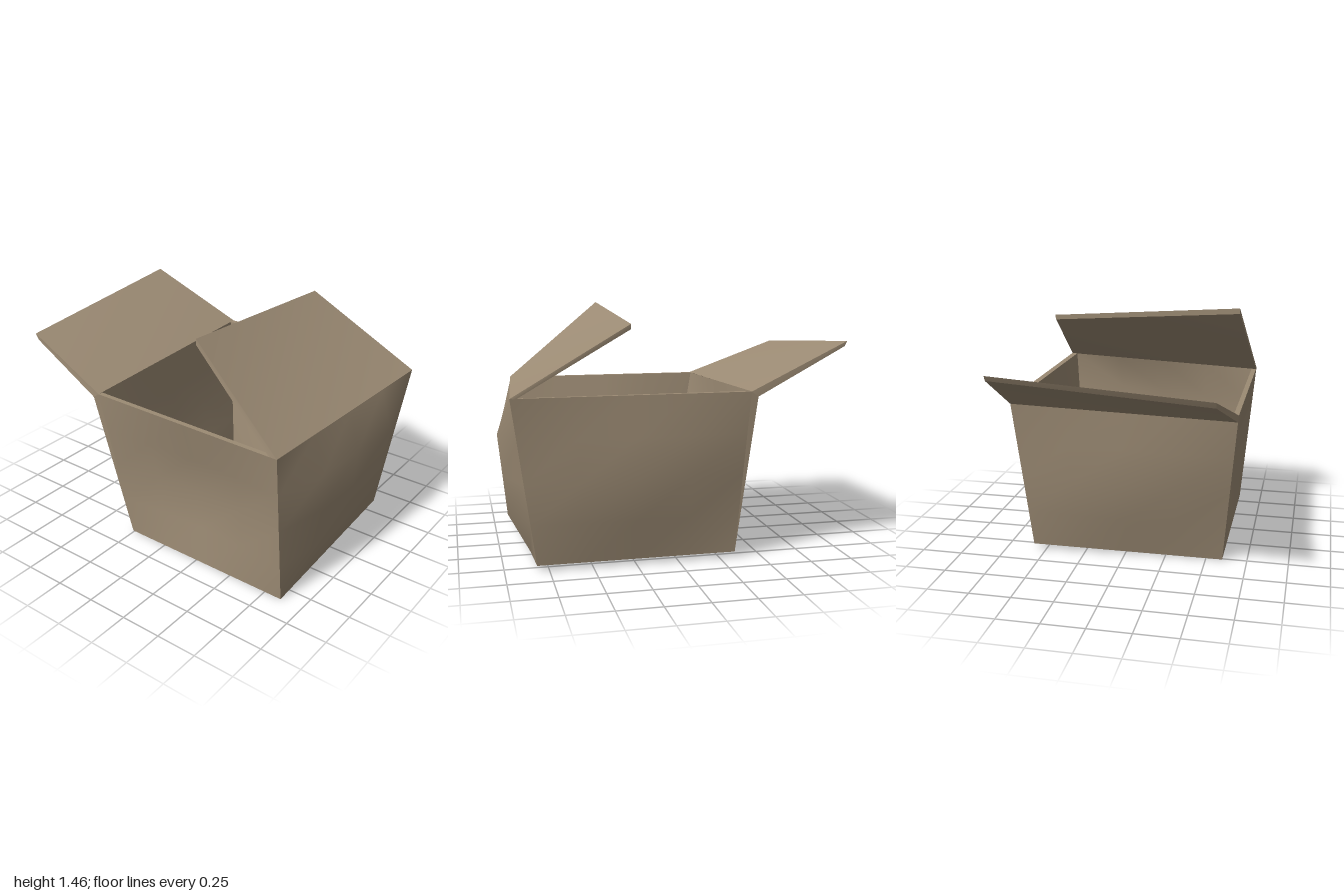
import * as THREE from 'three';

const V = (x, y, z) => new THREE.Vector3(x, y, z);

// Four-cornered surface (a, b along the bottom, d, c along the top), pushed out by bulge(u, v)
function patch(a, b, c, d, n = 1, bulge = null, flip = false) {
  const g = new THREE.PlaneGeometry(1, 1, n, n);
  const p = g.attributes.position;
  for (let i = 0; i < p.count; i++) {
    const u = p.getX(i) + 0.5, v = p.getY(i) + 0.5;
    const q = a.clone().lerp(b, u).lerp(d.clone().lerp(c, u), v);
    if (bulge) q.add(bulge(u, v));
    p.setXYZ(i, q.x, q.y, q.z);
  }
  if (flip) {
    const ix = g.index.array;
    for (let i = 0; i < ix.length; i += 3) [ix[i], ix[i + 1]] = [ix[i + 1], ix[i]];
  }
  g.computeVertexNormals();
  return g;
}

export function createModel() {
  const model = new THREE.Group();
  model.name = 'openBox';
  const card = new THREE.MeshStandardMaterial({ color: 0x9c8b74, side: THREE.DoubleSide });
  const add = (name, geometry, parent = model) => {
    const m = new THREE.Mesh(geometry, card);
    m.name = name;
    parent.add(m);
  };

  // Corners: N/P = -x/+x side, f/b = front/back; outer and inner skins
  const outer = {
    Nf0: V(-0.6, 0, 0.86), Pf0: V(0.575, 0.035, 0.82),
    Nb0: V(-0.6, 0, -0.26), Pb0: V(0.575, 0.035, -0.34),
    Nf1: V(-0.685, 0.96, 0.86), Pf1: V(0.66, 0.995, 0.955),
    Nb1: V(-0.685, 0.96, -0.4), Pb1: V(0.66, 0.995, -0.4),
  };
  const inner = {
    Nf0: V(-0.565, 0.035, 0.82), Pf0: V(0.54, 0.07, 0.785),
    Nb0: V(-0.565, 0.035, -0.22), Pb0: V(0.54, 0.07, -0.305),
    Nf1: V(-0.655, 0.96, 0.81), Pf1: V(0.625, 0.993, 0.92),
    Nb1: V(-0.655, 0.96, -0.4), Pb1: V(0.625, 0.995, -0.4),
  };
  // Lower edge of the back flap's fold
  const foldN = V(-0.685, 0.93, -0.44), foldP = V(0.66, 0.965, -0.44);

  // Crumple of each wall: full at mid height, zero along the edges
  const soft = (u, v) => Math.sin(Math.PI * u) * Math.sin(Math.PI * v) ** 2;
  const plateau = (u, v) => Math.min(1, 2.01 * Math.sin(Math.PI * u) * Math.sin(Math.PI * v));
  const bulges = {
    front: (u, v) => V(0, 0, (0.05 + 0.07 * u) * plateau(u, v)),
    back: (u, v) => V(0, 0, -0.05 * soft(u, v)),
    leftSide: (u, v) => V(0.065 * soft(u, v), 0, 0),
    rightSide: (u, v) => V(0.075 * soft(u, v), 0, 0),
  };
  const sides = { front: ['Nf', 'Pf'], leftSide: ['Pf', 'Pb'], back: ['Pb', 'Nb'], rightSide: ['Nb', 'Nf'] };

  // Walls, outside and inside
  for (const [name, [s, e]] of Object.entries(sides)) {
    const wall = new THREE.Group();
    wall.name = name + 'Wall';
    model.add(wall);
    const topS = name === 'back' ? foldP : outer[s + 1];
    const topE = name === 'back' ? foldN : outer[e + 1];
    add(name + 'Outside', patch(outer[s + 0], outer[e + 0], topE, topS, 4, bulges[name]), wall);
    add(name + 'Inside', patch(inner[s + 0], inner[e + 0], inner[e + 1], inner[s + 1], 4, bulges[name], true), wall);
  }

  // Narrow corner strips beside the back fold
  add('leftBackCorner', patch(outer.Pb0, outer.Pb0, foldP, outer.Pb1));
  add('rightBackCorner', patch(outer.Nb0, outer.Nb0, outer.Nb1, foldN));

  // Floor
  add('underside', patch(outer.Nb0, outer.Pb0, outer.Pf0, outer.Nf0));
  add('floor', patch(inner.Nf0, inner.Pf0, inner.Pb0, inner.Nb0));

  // Rim along both sides
  add('leftRim', patch(inner.Pf1, outer.Pf1, outer.Pb1, inner.Pb1));
  add('rightRim', patch(outer.Nf1, inner.Nf1, inner.Nb1, outer.Nb1));

  // Flap slab: upper and lower faces given as [hinge -x, hinge +x, tip +x, tip -x]
  function flap(name, up, low) {
    const group = new THREE.Group();
    group.name = name;
    model.add(group);
    const front = up[2].z > up[1].z;
    add('upperFace', patch(...up, 1, null, front), group);
    add('lowerFace', patch(...low, 1, null, !front), group);
    for (let i = 0; i < 4; i++) {
      const j = (i + 1) % 4;
      add('edge', patch(low[i], low[j], up[j], up[i], 1, null, front), group);
    }
  }

  flap('frontFlap',
    [outer.Nf1, outer.Pf1, V(0.59, 1.38, 0.28), V(-0.61, 1.46, 0.28)],
    [V(-0.685, 0.96, 0.81), V(0.66, 0.993, 0.92), V(0.585, 1.35, 0.28), V(-0.61, 1.425, 0.28)]);
  flap('backFlap',
    [outer.Nb1, outer.Pb1, V(0.595, 1.265, -1.0), V(-0.62, 1.18, -0.975)],
    [foldN, foldP, V(0.595, 1.235, -0.985), V(-0.62, 1.145, -0.955)]);

  return model;
}
